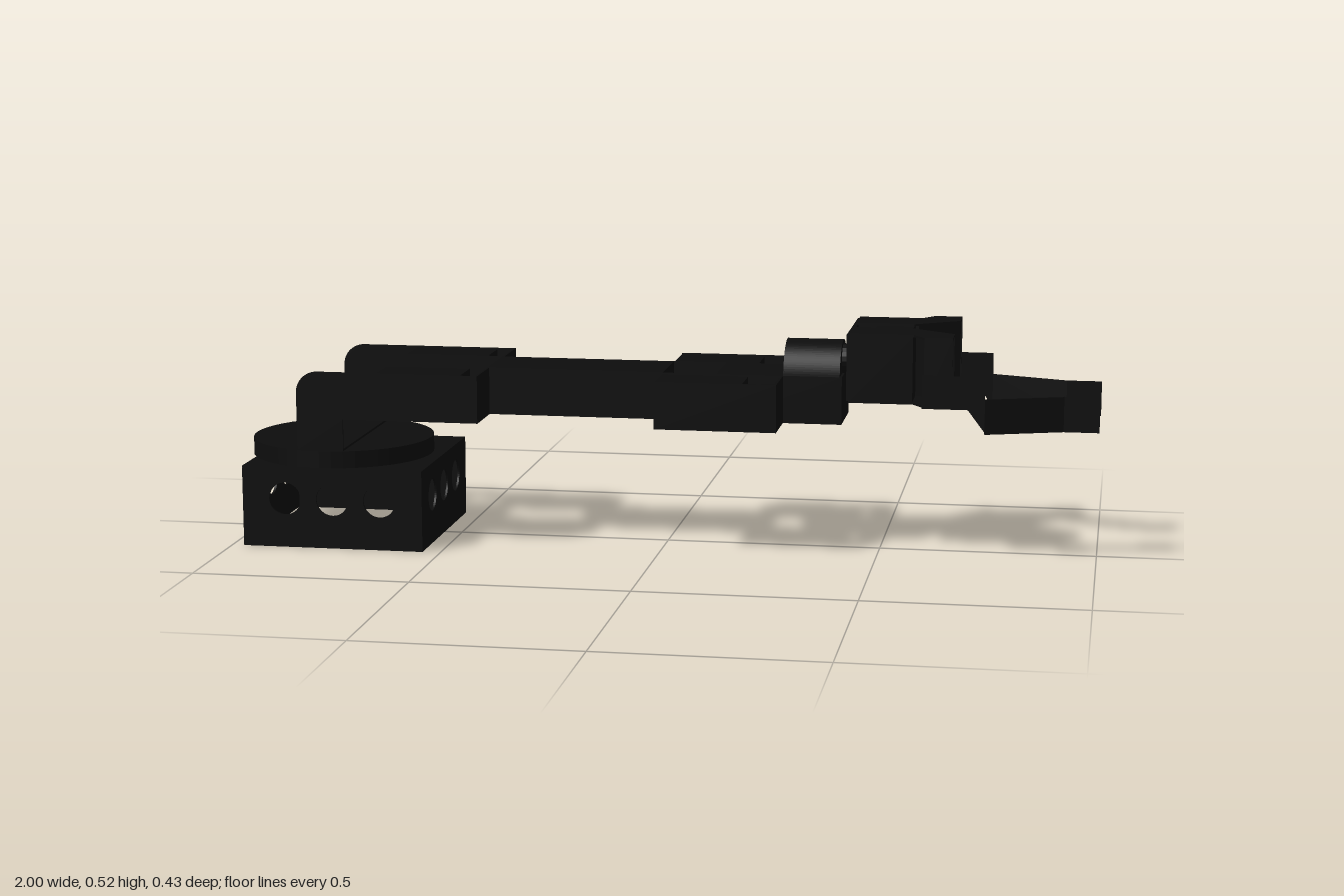
import * as THREE from 'three';

const black = new THREE.MeshStandardMaterial({ color: 0x0d0d0d, side: THREE.DoubleSide, flatShading: true });
const yellow = new THREE.MeshStandardMaterial({ color: 0xf2e600 });
const T = 0.005; // sheet thickness

export function createModel() {
  const model = new THREE.Group();

  const add = (name, geometry, parent = model, material = black) => {
    const mesh = new THREE.Mesh(geometry, material);
    mesh.name = name;
    parent.add(mesh);
    return mesh;
  };
  const group = (name) => {
    const g = new THREE.Group();
    g.name = name;
    model.add(g);
    return g;
  };
  // Box given by its limits along each axis
  const box = (name, [x0, x1], [y0, y1], [z0, z1], parent, material) => {
    const g = new THREE.BoxGeometry(x1 - x0, y1 - y0, Math.abs(z1 - z0));
    g.translate((x0 + x1) / 2, (y0 + y1) / 2, (z0 + z1) / 2);
    return add(name, g, parent, material);
  };
  const extrude = (shape, depth) =>
    new THREE.ExtrudeGeometry(shape, { depth, bevelEnabled: false, curveSegments: 24 });
  // Flat sheet lying at height y, outlined by [x, z] points
  const sheet = (name, points, y, height, parent) => {
    const shape = new THREE.Shape(points.map(([x, z]) => new THREE.Vector2(x, -z)));
    return add(name, extrude(shape, height).rotateX(-Math.PI / 2).translate(0, y, 0), parent);
  };

  // Hollow base: four walls with three round holes each, closed on top
  const base = group('base');
  const bx = -0.757, half = 0.215;
  for (let i = 0; i < 4; i++) {
    const wall = new THREE.Shape();
    wall.moveTo(-half, 0);
    wall.lineTo(half, 0);
    wall.lineTo(half, 0.184);
    wall.lineTo(half - 0.006, 0.19);
    wall.lineTo(-half + 0.006, 0.19);
    wall.lineTo(-half, 0.184);
    for (const cx of [-0.113, 0, 0.113]) {
      const hole = new THREE.Path();
      hole.absarc(cx, 0.115, 0.038, 0, Math.PI * 2, true);
      wall.holes.push(hole);
    }
    const g = extrude(wall, T).translate(0, 0, half - T).rotateY(i * Math.PI / 2).translate(bx, 0, 0);
    add('baseWall', g, base);
  }
  box('baseTop', [bx - half, bx + half], [0.185, 0.19], [-half, half], base);
  box('baseMotor', [bx - 0.108, bx + 0.108], [0.134, 0.185], [-0.108, 0.108], base, yellow);

  // Turntable
  const disc = new THREE.CylinderGeometry(0.214, 0.214, 0.04, 48).translate(-0.786, 0.21, 0);
  add('turntable', disc);

  // Shoulder: bent sheet with two L-shaped cheeks and an end wall
  const shoulder = group('shoulderBracket');
  box('shoulderFoot', [-0.84, -0.73], [0.23, 0.235], [-0.205, 0.205], shoulder);
  const cheek = new THREE.Shape();
  cheek.moveTo(-0.84, 0.23);
  cheek.lineTo(-0.73, 0.23);
  cheek.lineTo(-0.73, 0.305);
  cheek.lineTo(-0.41, 0.305);
  cheek.lineTo(-0.41, 0.415);
  cheek.lineTo(-0.79, 0.415);
  cheek.absarc(-0.79, 0.365, 0.05, Math.PI / 2, Math.PI, false);
  for (const s of [1, -1]) {
    add('shoulderCheek', extrude(cheek, T).translate(0, 0, s * 0.2025 - T / 2), shoulder);
  }

  // Side pockets holding the joint motors, open above and below at the end
  const Y = [0.305, 0.415];
  const pocket = (name, x0, x1, motor0, motor1) => {
    const g = group(name);
    for (const s of [1, -1]) {
      box('pocketOuterWall', [x0, x1], Y, [s * 0.2, s * 0.205], g);
      box('pocketInnerWall', [x0, x1], Y, [s * 0.08, s * 0.085], g);
      box('pocketEndWall', [x1 - T, x1], Y, [s * 0.08, s * 0.205], g);
      box('jointMotor', [motor0, motor1], [0.308, 0.412], [s * 0.082, s * 0.204], g);
    }
  };
  pocket('shoulderMotors', -0.655, -0.41, -0.655, -0.455);
  pocket('elbowMotors', 0, 0.28, 0, 0.2);

  // Arm sections
  box('upperArm', [-0.415, 0], Y, [-0.08, 0.08]);
  box('forearm', [0.125, 0.415], Y, [-0.08, 0.08]);

  // Wrist: arched housing and a short shaft
  const arch = new THREE.Shape();
  arch.moveTo(-0.08, 0.4);
  arch.lineTo(0.08, 0.4);
  arch.absarc(0, 0.41, 0.08, 0, Math.PI, false);
  add('wristHousing', extrude(arch, 0.13).rotateY(Math.PI / 2).translate(0.28, 0, 0));
  const shaft = new THREE.CylinderGeometry(0.036, 0.036, 0.06, 20);
  add('wristShaft', shaft.rotateZ(Math.PI / 2).translate(0.43, 0.445, 0));

  // Gripper: paired motors, brackets and bent fingers
  const gripper = group('gripper');
  box('gripperCore', [0.485, 0.57], [0.37, 0.52], [-0.036, 0.036], gripper);
  box('gripperBackPlate', [0.43, 0.44], [0.37, 0.522], [-0.13, 0.13], gripper);
  const outline = [[0.435, 0.03], [0.57, 0.03], [0.672, 0.1], [0.672, 0.168],
    [0.608, 0.168], [0.582, 0.13], [0.435, 0.13]];
  // Finger stations along its length: x, z, bottom, top
  const stations = [[0.605, 0.17, 0.365, 0.44], [0.708, 0.17, 0.365, 0.44], [0.745, 0.17, 0.316, 0.44],
    [0.746, 0.17, 0.31, 0.39], [0.92, 0.108, 0.31, 0.39], [1, 0.108, 0.31, 0.39]];
  for (const s of [1, -1]) {
    const side = outline.map(([x, z]) => [x, s * z]);
    sheet('bracketTop', side, 0.52, T, gripper);
    sheet('bracketBottom', side, 0.366, T, gripper);
    box('gripperMotor', [0.437, 0.58], [0.37, 0.521], [s * 0.032, s * 0.13], gripper);
    box('bracketOuterWall', [0.608, 0.672], [0.37, 0.524], [s * 0.162, s * 0.167], gripper);
    sheet('bracketSlantWall', [[0.57, s * 0.03], [0.672, s * 0.1], [0.672, s * 0.106], [0.57, s * 0.036]],
      0.37, 0.152, gripper);
    add('finger', fingerGeometry(stations, s), gripper);
  }
  return model;
}

// Thin bent strip lofted through the stations
function fingerGeometry(stations, s) {
  const pos = [], index = [];
  for (const [x, z, y0, y1] of stations) {
    const a = s * (z - 0.003), b = s * (z + 0.003);
    pos.push(x, y0, a, x, y0, b, x, y1, b, x, y1, a);
  }
  const quad = (a, b, c, d) => (s > 0 ? index.push(a, b, c, a, c, d) : index.push(a, c, b, a, d, c));
  for (let i = 0; i < stations.length - 1; i++) {
    for (let j = 0; j < 4; j++) {
      const k = (j + 1) % 4, o = i * 4;
      quad(o + j, o + 4 + j, o + 4 + k, o + k);
    }
  }
  const e = (stations.length - 1) * 4;
  quad(0, 1, 2, 3);
  quad(e + 3, e + 2, e + 1, e);
  const g = new THREE.BufferGeometry();
  g.setAttribute('position', new THREE.Float32BufferAttribute(pos, 3));
  g.setIndex(index);
  const flat = g.toNonIndexed();
  flat.computeVertexNormals();
  return flat;
}
